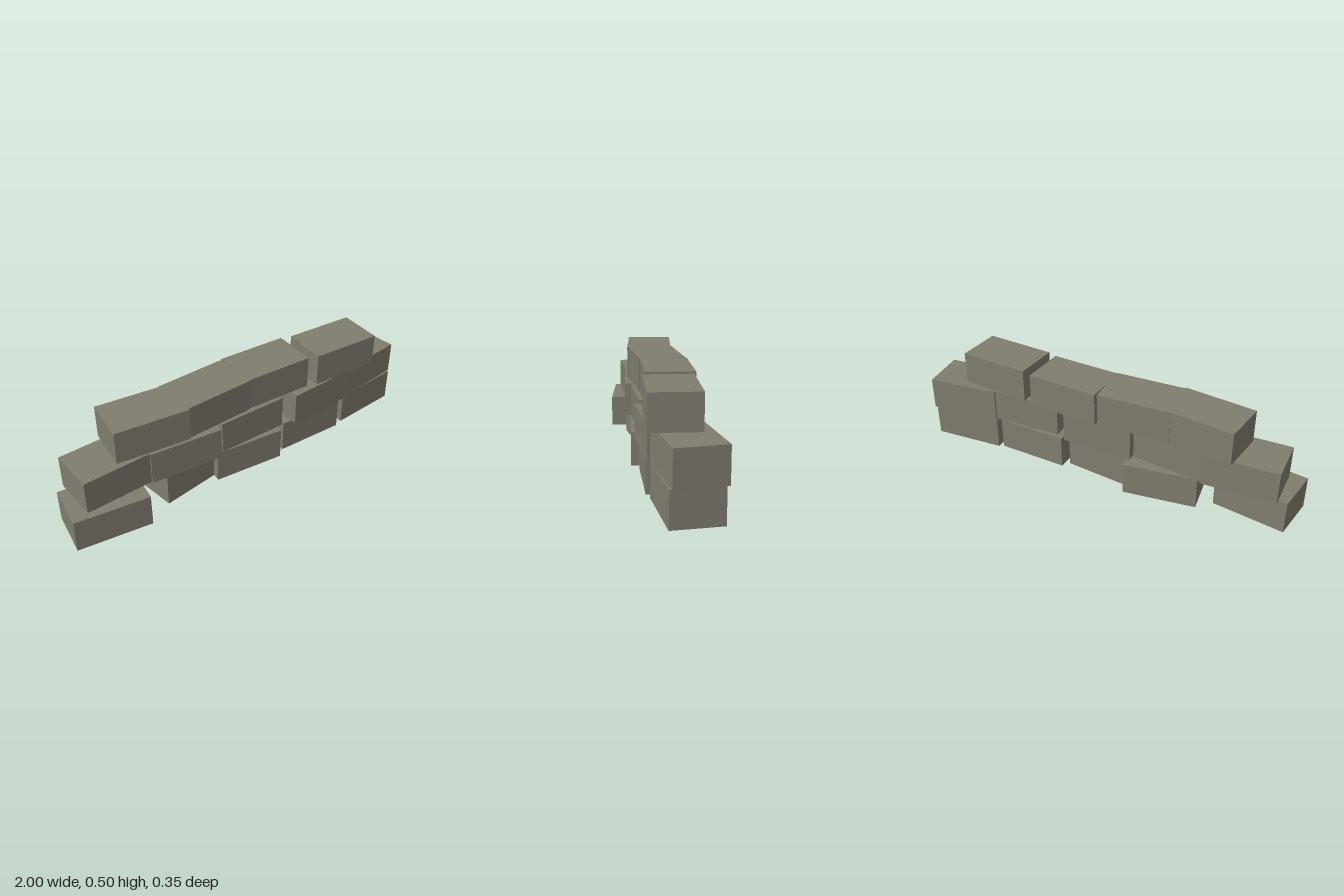
import * as THREE from 'three';

const LENGTH = 0.37, HEIGHT = 0.168, DEPTH = 0.234;

// Each course from the ground up; each block is [x, z, turn about y]
const COURSES = [
  { name: 'bottomCourse', blocks: [
    [-0.80, 0.028, -0.155], [-0.335, -0.036, 0.13], [-0.015, 0.012, -0.115],
    [0.39, 0.006, -0.045], [0.793, -0.01, 0.06]] },
  { name: 'middleCourse', blocks: [
    [-0.733, -0.027, 0.02], [-0.38, 0.002, -0.115], [0.005, -0.005, -0.015],
    [0.434, 0.021, 0.03], [0.801, -0.015, 0.1]] },
  { name: 'topCourse', blocks: [
    [-0.531, -0.032, -0.135], [-0.192, -0.022, 0.03], [0.178, -0.022, -0.06],
    [0.597, 0.022, -0.075]] },
];

export function createModel() {
  const wall = new THREE.Group();
  wall.name = 'stoneWall';
  const stone = new THREE.MeshStandardMaterial({ color: 0x807d70 });
  const blockShape = new THREE.BoxGeometry(LENGTH, HEIGHT, DEPTH);

  COURSES.forEach(({ name, blocks }, row) => {
    const course = new THREE.Group();
    course.name = name;
    course.position.y = HEIGHT * (row + 0.5);
    // Identical blocks, each slightly twisted and shifted
    blocks.forEach(([x, z, turn], i) => {
      const block = new THREE.Mesh(blockShape, stone);
      block.name = `block${i + 1}`;
      block.position.set(x, 0, z);
      block.rotation.y = turn;
      course.add(block);
    });
    wall.add(course);
  });
  return wall;
}
